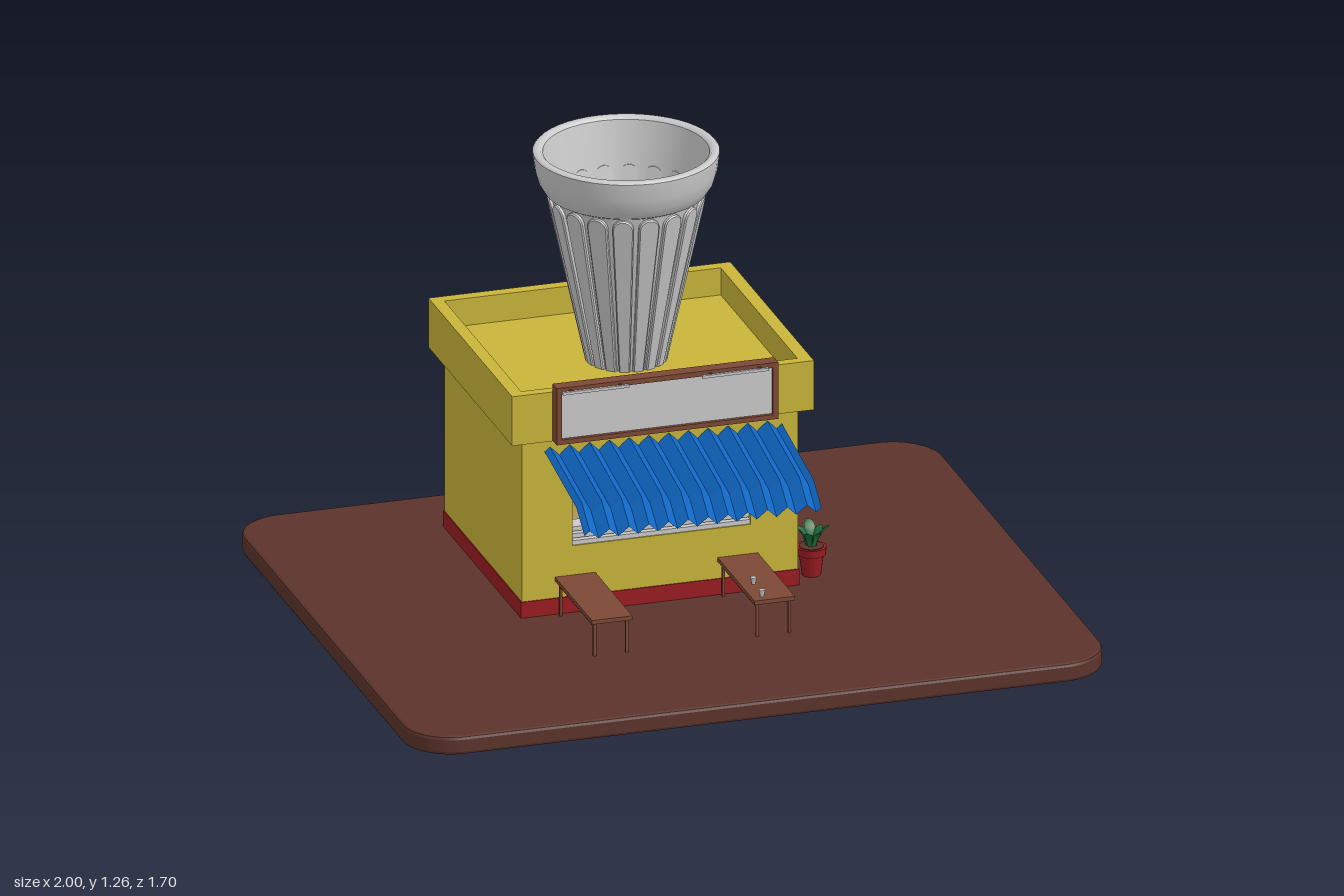
import * as THREE from 'three';

const mat = (name, color, side = THREE.FrontSide) => {
  const m = new THREE.MeshStandardMaterial({ color, side });
  m.name = name;
  return m;
};

export function createModel() {
  const yellow = mat('yellow wall', 0xc9b53a);
  const tan = mat('tan interior', 0xc9ae5e);
  const ground = mat('dark brown ground', 0x5c332b);
  const red = mat('red', 0x991c20);
  const blue = mat('blue awning', 0x1069c8, THREE.DoubleSide);
  const grey = mat('light grey', 0xcacaca);
  const wood = mat('wood brown', 0x7d4835);
  const green = mat('leaf green', 0x1f6b38, THREE.DoubleSide);

  const model = new THREE.Group();
  model.name = 'teaStall';

  const add = (parent, name, geo, material, x = 0, y = 0, z = 0) => {
    const mesh = new THREE.Mesh(geo, material);
    mesh.name = name;
    mesh.position.set(x, y, z);
    parent.add(mesh);
    return mesh;
  };
  // Box given by its minimum and maximum on each axis
  const box = (parent, name, material, x0, x1, y0, y1, z0, z1) =>
    add(parent, name, new THREE.BoxGeometry(x1 - x0, y1 - y0, z1 - z0), material,
      (x0 + x1) / 2, (y0 + y1) / 2, (z0 + z1) / 2);
  const rect = (P, x0, x1, y0, y1) => new P([
    new THREE.Vector2(x0, y0), new THREE.Vector2(x1, y0),
    new THREE.Vector2(x1, y1), new THREE.Vector2(x0, y1)]);
  // Flat frame with a rectangular opening
  const frame = (outer, inner, depth) => {
    const s = rect(THREE.Shape, ...outer);
    s.holes.push(rect(THREE.Path, ...inner));
    return new THREE.ExtrudeGeometry(s, { depth, bevelEnabled: false });
  };

  // Ground slab with rounded corners
  const W = 0.99, D = 0.838, R = 0.13;
  const slab = new THREE.Shape();
  slab.absarc(W - R, D - R, R, 0, Math.PI / 2);
  slab.absarc(-W + R, D - R, R, Math.PI / 2, Math.PI);
  slab.absarc(-W + R, -D + R, R, Math.PI, Math.PI * 1.5);
  slab.absarc(W - R, -D + R, R, Math.PI * 1.5, Math.PI * 2);
  const slabGeo = new THREE.ExtrudeGeometry(slab, {
    depth: 0.035, bevelSize: 0.01, bevelThickness: 0.01, bevelSegments: 2, curveSegments: 10 });
  slabGeo.rotateX(-Math.PI / 2);
  add(model, 'groundSlab', slabGeo, ground, 0, 0.01, 0);

  // Building: main block, front wall with serving window, skirting, roof parapet
  const X0 = -0.455, X1 = 0.337, Z0 = -0.618, Z1 = 0.077;
  const win = [-0.31, 0.2, 0.25, 0.51];
  box(model, 'mainBlock', yellow, X0, X1, 0.05, 0.64, Z0, Z1 - 0.1);
  add(model, 'frontWall', frame([X0, X1, 0.05, 0.64], win, 0.1), yellow, 0, 0, Z1 - 0.1);
  box(model, 'windowBack', tan, win[0], win[1], win[2], win[3], Z1 - 0.1, Z1 - 0.095);
  box(model, 'skirting', red, X0 - 0.003, X1 + 0.003, 0.05, 0.102, Z0 - 0.003, Z1 + 0.003);
  const parapet = frame([-0.49, 0.375, -0.1, 0.652], [X0, X1, -Z1 + 0.007, -Z0], 0.145);
  parapet.rotateX(-Math.PI / 2);
  add(model, 'parapet', parapet, yellow, 0, 0.575, 0);

  // Serving counter made of slats
  for (let i = 0; i < 3; i++) {
    box(model, 'counterSlat', grey, win[0], win[1], 0.25 + i * 0.016, 0.263 + i * 0.016, 0.0, 0.073 - i * 0.01);
  }

  // Sign board with frame and two lamps
  const sign = new THREE.Group();
  sign.name = 'sign';
  model.add(sign);
  add(sign, 'signFrame', frame([-0.375, 0.26, 0.578, 0.745], [-0.36, 0.245, 0.592, 0.73], 0.038), wood, 0, 0, 0.102);
  box(sign, 'signPanel', grey, -0.36, 0.245, 0.592, 0.73, 0.102, 0.13);
  for (const x of [-0.265, 0.135]) {
    box(sign, 'signLamp', grey, x - 0.095, x + 0.095, 0.727, 0.735, 0.142, 0.15);
    for (const s of [-0.07, 0.07]) {
      box(sign, 'lampBracket', wood, x + s - 0.005, x + s + 0.005, 0.727, 0.738, 0.138, 0.145);
    }
  }

  // Corrugated awning, bent downwards near its front edge
  const path = [[0.537, 0.078], [0.482, 0.365], [0.427, 0.435]];
  const waves = 12, cols = waves * 4;
  const awning = new THREE.PlaneGeometry(0.68, 1, cols, 2);
  const p = awning.attributes.position;
  for (let i = 0; i < p.count; i++) {
    const [y, z] = path[Math.floor(i / (cols + 1))];
    const wave = 0.014 * Math.sin((i % (cols + 1)) * Math.PI / 2);
    p.setXYZ(i, p.getX(i) - 0.05, y + wave, z + wave * 0.3);
  }
  const awningGeo = awning.toNonIndexed();
  awningGeo.computeVertexNormals();
  add(model, 'awning', awningGeo, blue);

  // Giant fluted glass on the roof
  const glass = new THREE.Group();
  glass.name = 'giantGlass';
  glass.position.set(-0.046, 0.64, -0.268);
  model.add(glass);
  const profile = (pts) => new THREE.LatheGeometry(pts.map(q => new THREE.Vector2(...q)), 48);
  add(glass, 'glassBody', profile([[0.103, 0], [0.212, 0.5]]), grey);
  add(glass, 'glassRimOuter', profile([[0.21, 0.49], [0.223, 0.497], [0.24, 0.525], [0.25, 0.56], [0.255, 0.6], [0.256, 0.61]]), grey);
  add(glass, 'glassRimTop', profile([[0.256, 0.61], [0.25, 0.616], [0.236, 0.616], [0.228, 0.608]]), grey);
  add(glass, 'glassInside', profile([[0.228, 0.608], [0.193, 0.44]]), grey);
  const floor = add(glass, 'glassFloor', new THREE.CircleGeometry(0.196, 48), grey, 0, 0.442, 0);
  floor.rotation.x = -Math.PI / 2;
  // Raised flutes, narrow below and round at the top
  const flute = new THREE.Shape();
  flute.moveTo(-0.012, 0);
  flute.lineTo(0.012, 0);
  flute.lineTo(0.026, 0.468);
  flute.absarc(0, 0.468, 0.026, 0, Math.PI);
  flute.closePath();
  const fluteGeo = new THREE.ExtrudeGeometry(flute, {
    depth: 0.009, bevelSize: 0.003, bevelThickness: 0.004, bevelSegments: 1, curveSegments: 5 });
  const flutes = 18;
  for (let i = 0; i < flutes; i++) {
    const arm = new THREE.Group();
    arm.name = 'flute';
    arm.rotation.y = (i / flutes) * Math.PI * 2;
    glass.add(arm);
    add(arm, 'fluteRib', fluteGeo, grey, 0, 0.003, 0.1).rotation.x = Math.atan(0.109 / 0.5);
  }

  // Two benches reaching out from the front wall
  for (const x of [-0.303, 0.163]) {
    const bench = new THREE.Group();
    bench.name = 'bench';
    bench.position.x = x;
    model.add(bench);
    box(bench, 'benchTop', wood, -0.058, 0.058, 0.153, 0.165, 0.08, 0.412);
    for (const s of [-1, 1]) {
      box(bench, 'benchRail', wood, s * 0.046 - 0.003, s * 0.046 + 0.003, 0.14, 0.154, 0.094, 0.4);
      for (const z of [0.094, 0.398]) {
        box(bench, 'benchLeg', wood, s * 0.046 - 0.004, s * 0.046 + 0.004, 0.054, 0.154, z - 0.004, z + 0.004);
      }
    }
  }
  // Small tea glasses on one bench
  for (const [x, z] of [[0.135, 0.385], [0.14, 0.293]]) {
    add(model, 'teaGlass', new THREE.CylinderGeometry(0.009, 0.005, 0.02, 12), grey, x, 0.175, z);
  }

  // Leaf: a flat oval blade arching outwards
  const leaf = new THREE.PlaneGeometry(1, 1, 2, 6);
  const lp = leaf.attributes.position;
  for (let i = 0; i < lp.count; i++) {
    const t = lp.getY(i) + 0.5, side = lp.getX(i) * 2;
    const half = 0.003 + 0.013 * Math.sin(Math.PI * Math.min(1, t * t * 0.9 + 0.08));
    lp.setXYZ(i, side * half, t * 0.085 - 0.014 * t ** 4, 0.01 + 0.036 * t * t + Math.abs(side) * 0.004);
  }
  leaf.computeVertexNormals();

  // Potted plants along the left wall
  for (const z of [0.014, -0.545]) {
    const plant = new THREE.Group();
    plant.name = 'pottedPlant';
    plant.position.set(0.395, 0.054, z);
    model.add(plant);
    add(plant, 'pot', new THREE.CylinderGeometry(0.035, 0.026, 0.066, 20), red, 0, 0.033, 0);
    add(plant, 'potRim', new THREE.CylinderGeometry(0.042, 0.04, 0.022, 20), red, 0, 0.073, 0);
    add(plant, 'soil', new THREE.CylinderGeometry(0.034, 0.034, 0.003, 20), ground, 0, 0.0845, 0);
    for (let i = 0; i < 7; i++) {
      const blade = add(plant, 'leaf', leaf, green, 0, 0.075, 0);
      blade.rotation.y = i * 0.9 + 0.3;
      blade.scale.setScalar(0.85 + 0.15 * (i % 2));
    }
  }
  return model;
}
